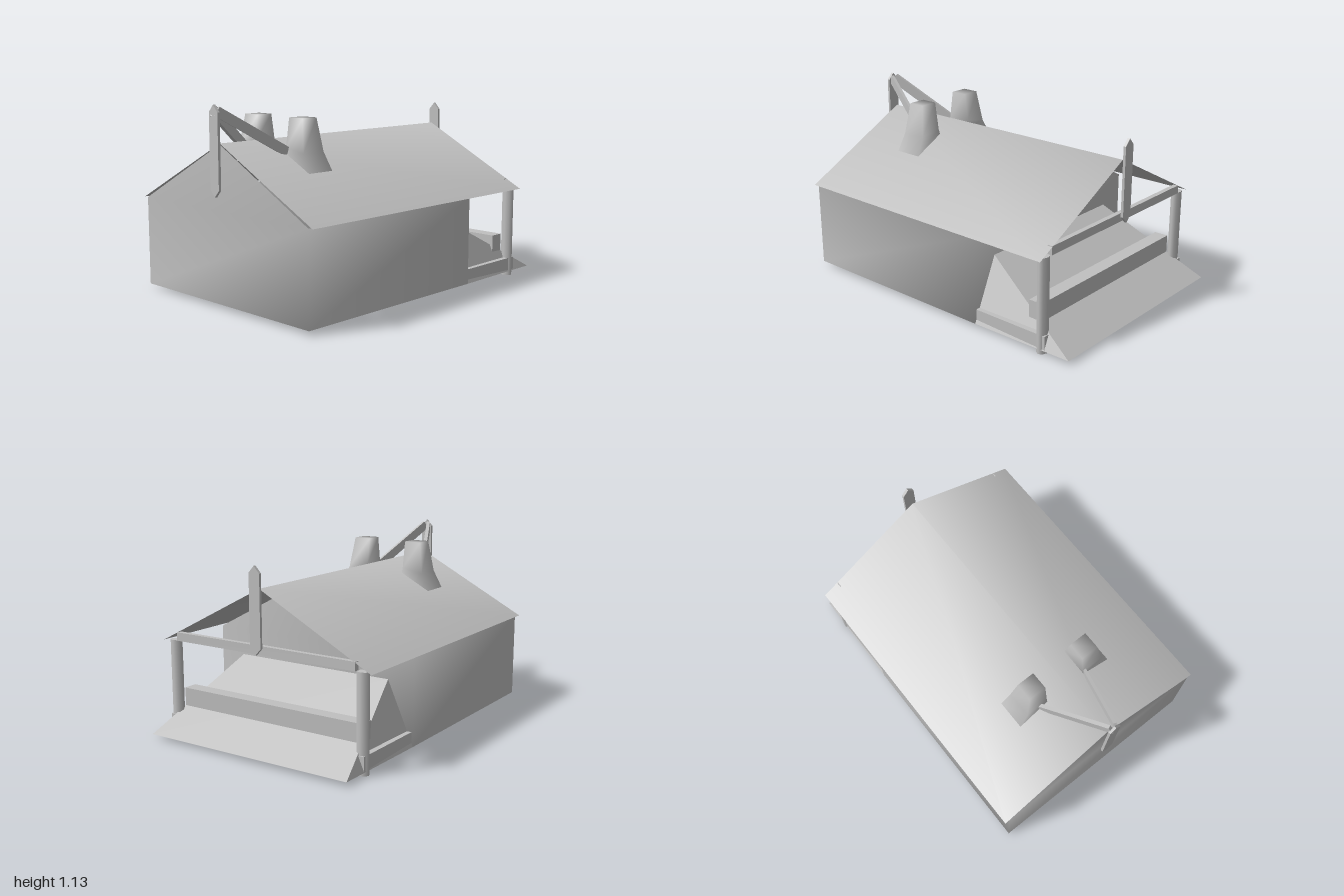
import * as THREE from 'three';

const grey = new THREE.MeshStandardMaterial({ color: 0xc0c0c0, side: THREE.DoubleSide });
grey.name = 'plain grey';

export function createModel() {
  const model = new THREE.Group();
  model.name = 'gabledHouse';

  const add = (name, geometry, x = 0, y = 0, z = 0) => {
    const mesh = new THREE.Mesh(geometry, grey);
    mesh.name = name;
    mesh.position.set(x, y, z);
    model.add(mesh);
    return mesh;
  };

  // Surface from corner points and triangles
  const surface = (points, faces, smooth = false) => {
    let g = new THREE.BufferGeometry();
    g.setAttribute('position', new THREE.Float32BufferAttribute(points.flat(), 3));
    g.setIndex(faces.flat());
    if (!smooth) g = g.toNonIndexed();
    g.computeVertexNormals();
    return g;
  };

  // Softly shaded block through four-cornered cross-sections, listed bottom to top
  const loft = (rings) => {
    const faces = [];
    for (let r = 0; r < rings.length - 1; r++) {
      for (let i = 0; i < 4; i++) {
        const a = r * 4 + i, b = r * 4 + (i + 1) % 4;
        faces.push([a, a + 4, b], [b, a + 4, b + 4]);
      }
    }
    const t = (rings.length - 1) * 4;
    faces.push([t, t + 3, t + 2], [t, t + 2, t + 1]);
    return surface(rings.flat(), faces, true);
  };

  // Plank between two points
  const plank = (name, from, to, width, depth) => {
    const a = new THREE.Vector3(...from), b = new THREE.Vector3(...to);
    const mesh = add(name, new THREE.BoxGeometry(width, depth, a.distanceTo(b)));
    mesh.position.copy(a).lerp(b, 0.5);
    mesh.lookAt(b);
  };

  // Walls: gable outline at front and back, softly shaded across the corners
  const gable = [[-0.685, 0.025], [0.685, 0.025], [0.685, 0.55], [0, 0.915], [-0.685, 0.55]];
  const wallPoints = [0.96, -0.355].flatMap((z) => gable.map(([x, y]) => [x, y, z]));
  add('walls', surface(wallPoints, [
    [0, 1, 2], [0, 2, 4], [4, 2, 3],
    [6, 5, 9], [6, 9, 7], [7, 9, 8],
    [1, 6, 7], [1, 7, 2],
    [5, 0, 4], [5, 4, 9],
  ], true));

  // Roof: two thin slopes reaching back over the porch, softly shaded at the ridge
  add('roof', surface([
    [-0.715, 0.55, 0.96], [0, 0.92, 0.96], [0.715, 0.55, 0.96],
    [-0.715, 0.55, -0.835], [0, 0.92, -0.835], [0.715, 0.55, -0.835],
  ], [[0, 1, 4], [0, 4, 3], [1, 2, 5], [1, 5, 4]], true));

  // Porch ramp: sloping sheet, leaning sides and a half-open underside
  add('porchRamp', surface([
    [-0.52, 0.39, -0.355], [0.52, 0.39, -0.355],
    [0.675, 0.025, -1], [-0.675, 0.025, -1],
    [0.685, 0.025, -0.355], [-0.685, 0.025, -0.355],
  ], [[0, 1, 2], [0, 2, 3], [1, 4, 2], [0, 3, 5], [5, 3, 2]]));

  // Porch bench and tie beam between the posts
  add('porchBench', new THREE.BoxGeometry(1.24, 0.15, 0.085), 0, 0.185, -0.732);
  add('tieBeam', new THREE.BoxGeometry(1.23, 0.05, 0.03), 0, 0.58, -0.818);

  for (const side of [-1, 1]) {
    // Porch posts and floor rails
    add('porchPost', new THREE.CylinderGeometry(0.0375, 0.0375, 0.555, 8), side * 0.647, 0.2775, -0.805)
      .scale.z = 0.8;
    add('floorRail', new THREE.BoxGeometry(0.06, 0.085, 0.485), side * 0.645, 0.0675, -0.597);

    // Chimneys: flared on the outer side, foot following the roof slope
    const section = (outer, z0, z1, yOuter, yInner) => {
      const xs = side > 0 ? [0.133, outer] : [-outer, -0.133];
      const ys = side > 0 ? [yInner, yOuter] : [yOuter, yInner];
      return [[xs[0], ys[0], z0], [xs[1], ys[1], z0], [xs[1], ys[1], z1], [xs[0], ys[0], z1]];
    };
    add('chimney', loft([
      section(0.333, 0.43, 0.61, 0.738, 0.84),
      section(0.272, 0.445, 0.6, 0.855, 0.88),
      section(0.242, 0.47, 0.575, 1.045, 1.045),
    ]));
  }

  // Braces from the front finial back to the roof
  plank('leftBrace', [0.012, 1.095, 0.985], [0.145, 0.855, 0.6], 0.018, 0.055);
  plank('rightBrace', [-0.015, 1.095, 0.985], [-0.19, 0.815, 0.58], 0.022, 0.06);

  // Finials: flat boards pointed at both ends
  const board = (height) => new THREE.ExtrudeGeometry(new THREE.Shape([
    [0, 0], [0.036, 0.04], [0.036, height - 0.04], [0, height], [-0.036, height - 0.04], [-0.036, 0.04],
  ].map(([x, y]) => new THREE.Vector2(x, y))), { depth: 0.016, bevelEnabled: false });
  add('frontFinial', board(0.5), 0, 0.63, 0.984);
  add('backFinial', board(0.49), 0, 0.56, -0.876);

  return model;
}
